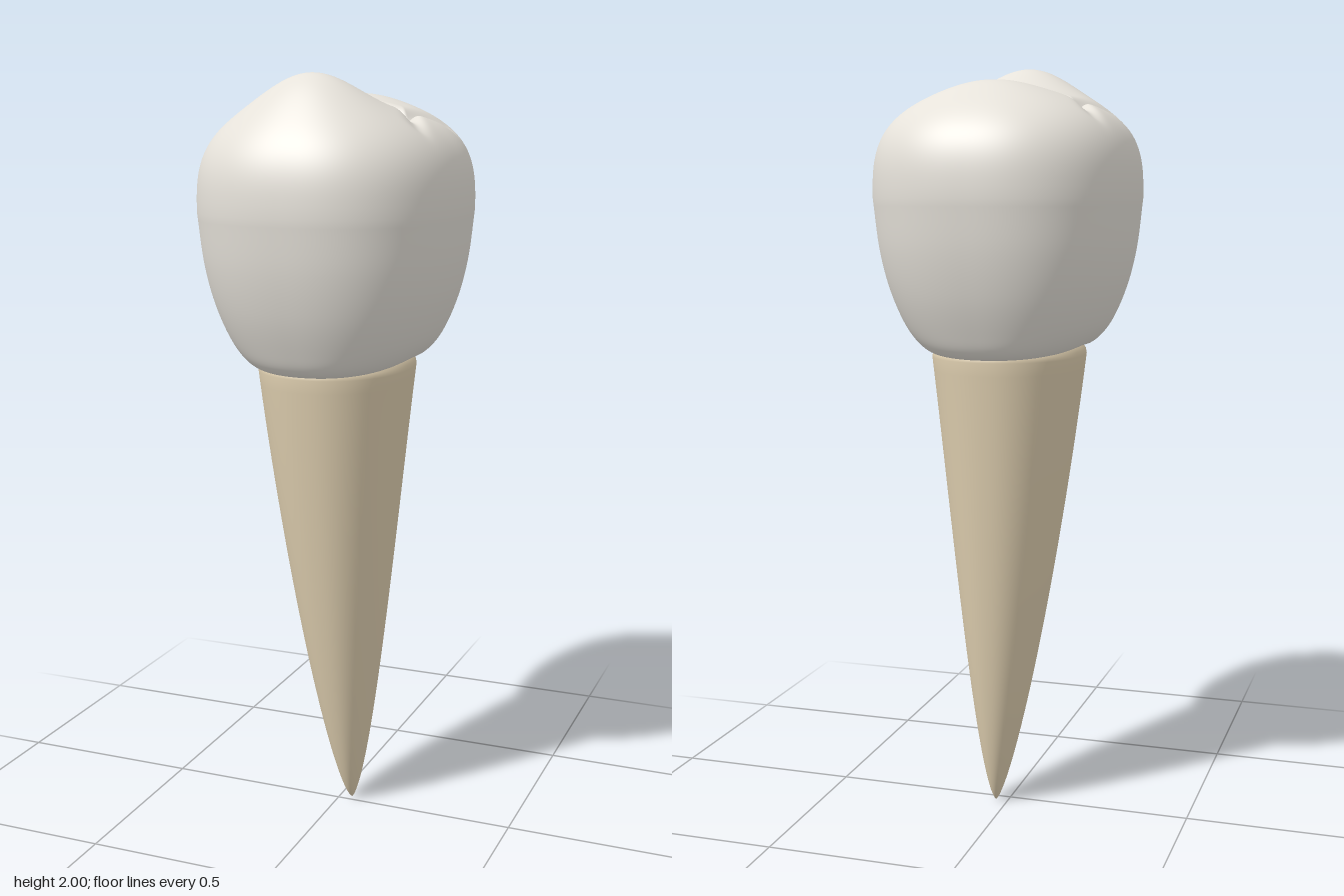
import * as THREE from 'three';

const SEG = 256;
const HALF_X = 0.338, HALF_Z = 0.389, EQUATOR = 1.66;

// Rounded-oval radius in direction a
function ovalRadius(a, rx, rz, n) {
  return (Math.abs(Math.cos(a) / rx) ** n + Math.abs(Math.sin(a) / rz) ** n) ** (-1 / n);
}

// Skin a stack of closed rings, ordered bottom to top; point(i, angle) gives a corner
function loft(rings, seg, point) {
  const pos = [], idx = [];
  for (let i = 0; i < rings; i++)
    for (let j = 0; j < seg; j++) pos.push(...point(i, (j / seg) * Math.PI * 2));
  for (let i = 0; i < rings - 1; i++)
    for (let j = 0; j < seg; j++) {
      const k = (j + 1) % seg;
      const a = i * seg + j, b = i * seg + k, c = a + seg, d = b + seg;
      idx.push(a, c, b, b, c, d);
    }
  const g = new THREE.BufferGeometry();
  g.setAttribute('position', new THREE.Float32BufferAttribute(pos, 3));
  g.setIndex(idx);
  g.computeVertexNormals();
  return g;
}

const bell = (d, w) => Math.exp(-((d / w) ** 2));

function segmentDistance(x, z, x1, z1, x2, z2) {
  const dx = x2 - x1, dz = z2 - z1;
  const t = THREE.MathUtils.clamp(((x - x1) * dx + (z - z1) * dz) / (dx * dx + dz * dz), 0, 1);
  return [Math.hypot(x - x1 - t * dx, z - z1 - t * dz), t];
}

// Chewing surface: tall front cusp, low back cusp, central groove forking at both ends
function biteHeight(x, z) {
  let y = 1.92;
  y += 0.094 * bell(x, 0.165) * bell(z - 0.19, 0.13);
  y += 0.04 * bell(x, 0.17) * bell(z + 0.17, 0.14);
  const ax = Math.abs(x);
  let cut = 0.036 * bell(segmentDistance(ax, z, 0, -0.015, 0.18, -0.015)[0], 0.016);
  for (const endZ of [-0.13, 0.11]) {
    const [d, t] = segmentDistance(ax, z, 0.18, -0.015, 0.25, endZ);
    cut = Math.max(cut, (0.03 - 0.018 * t) * bell(d, 0.018 + 0.008 * t));
  }
  return y - cut;
}

function crownGeometry() {
  // Side wall: (x scale, height, z scale)
  const wall = new THREE.CatmullRomCurve3([
    [0.46, 1.275, 0.5], [0.56, 1.256, 0.63], [0.66, 1.275, 0.72], [0.77, 1.325, 0.79],
    [0.88, 1.42, 0.885], [0.957, 1.53, 0.955], [1, EQUATOR, 1],
  ].map((p) => new THREE.Vector3(...p)));
  const W = 40, T = 90;
  return loft(W + T + 1, SEG, (i, a) => {
    const c = Math.cos(a), s = Math.sin(a);
    if (i < W) {
      const p = wall.getPoint(i / W);
      const r = ovalRadius(a, HALF_X * p.x, HALF_Z * p.z, 2.4);
      // The neck line arches up on the left and right flanks
      const lift = 0.02 * c * c * THREE.MathUtils.clamp((1.45 - p.y) / 0.19, 0, 1);
      return [r * c, p.y + lift, r * s];
    }
    // Shoulder rolls over into the chewing surface
    const q = (i - W) / T;
    const f = q < 0.15 ? 1 - 0.08 * (q / 0.15) ** 2 : 0.92 * (1 - (q - 0.15) / 0.85);
    const r = f * ovalRadius(a, HALF_X, HALF_Z, 2.4);
    const x = r * c, z = r * s;
    const roll = Math.cbrt(Math.max(0, 1 - f ** 3));
    return [x, EQUATOR + (biteHeight(x, z) - EQUATOR) * roll, z];
  });
}

function rootGeometry() {
  const N = 70;
  return loft(N + 4, 96, (i, a) => {
    // Tapering curved cone, then a small rounded rim tucked into the crown
    const u = Math.min(1, i / N) ** 2;
    const over = Math.max(0, i - N);
    const shrink = 1 - 0.012 * over * over;
    const y = 1.25 * u + 0.012 * over;
    const r = ovalRadius(a, 0.197 * Math.max(u, 1e-7) ** 0.71, 0.25 * Math.max(u, 1e-7) ** 0.6, 2.2) * shrink;
    const bend = (1 - u) ** 1.6;
    return [0.034 * bend + r * Math.cos(a), y, -0.022 * bend + r * Math.sin(a)];
  });
}

export function createModel() {
  const enamel = new THREE.MeshStandardMaterial({ color: 0xe6e2da });
  enamel.name = 'enamel';
  const dentine = new THREE.MeshStandardMaterial({ color: 0xdfcfb0 });
  dentine.name = 'dentine';

  const model = new THREE.Group();
  model.name = 'tooth';
  const crown = new THREE.Mesh(crownGeometry(), enamel);
  crown.name = 'crown';
  const root = new THREE.Mesh(rootGeometry(), dentine);
  root.name = 'root';
  model.add(crown, root);
  return model;
}
